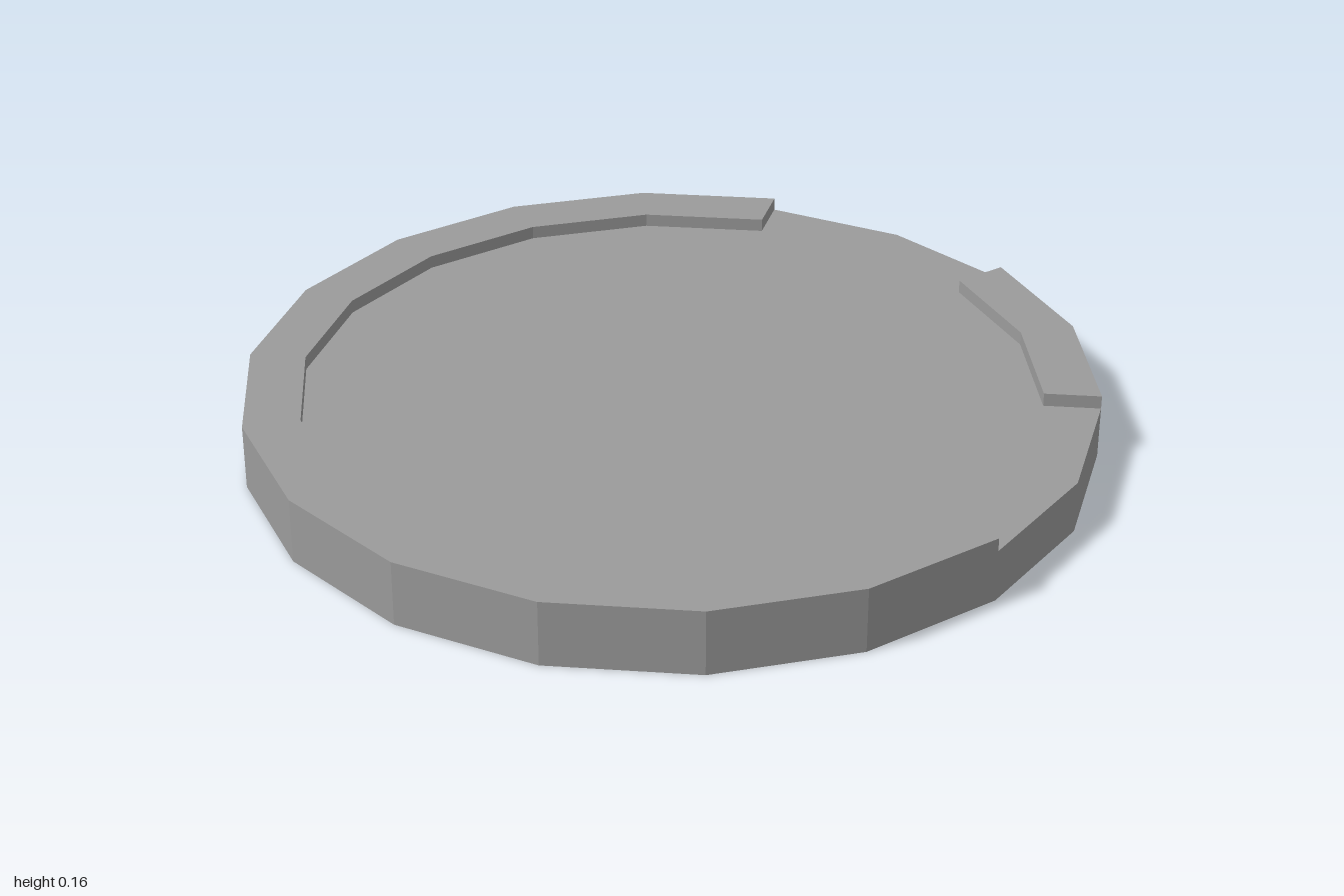
import * as THREE from 'three';

const STEP = Math.PI / 9; // 18 sides
const OUTER = 1, INNER = 0.867, FLOOR = 0.125, TOP = 0.157;

// sectors counted in sides, running counter-clockwise seen from above, from +x
const SECTORS = [
  { from: 0, count: 2, raised: false },
  { from: 2, count: 2, raised: true },
  { from: 4, count: 2, raised: false },
  { from: 6, count: 12, raised: true },
];

// corner points of a sector at radius r
const arc = (r, { from, count }) =>
  Array.from({ length: count + 1 }, (_, i) =>
    new THREE.Vector2(r * Math.cos((from + i) * STEP), r * Math.sin((from + i) * STEP)));

// level face with the given outline
const flat = (points, y) =>
  new THREE.ShapeGeometry(new THREE.Shape(points)).rotateX(-Math.PI / 2).translate(0, y, 0);

// upright band over a sector
const band = (r, y0, y1, { from, count }) =>
  new THREE.CylinderGeometry(r, r, y1 - y0, count, 1, true, Math.PI / 2 + from * STEP, count * STEP)
    .translate(0, (y0 + y1) / 2, 0);

export function createModel() {
  const group = new THREE.Group();
  const material = new THREE.MeshStandardMaterial({
    color: 0x9b9b9b, flatShading: true, side: THREE.DoubleSide,
  });
  const add = (name, geometry) => {
    const mesh = new THREE.Mesh(geometry, material);
    mesh.name = name;
    group.add(mesh);
  };

  // recessed floor, hollow underneath, reaching the edge where the rim is missing
  add('floor', flat(SECTORS.flatMap((s) => arc(s.raised ? INNER : OUTER, s)), FLOOR));

  for (const s of SECTORS) {
    add('outerWall', band(OUTER, 0, s.raised ? TOP : FLOOR, s));
    if (!s.raised) continue;

    add('rimTop', flat([...arc(OUTER, s), ...arc(INNER, s).reverse()], TOP));

    // inner step of the rim, turned to face the centre
    const inner = band(INNER, FLOOR, TOP, s);
    inner.index.array.reverse();
    inner.computeVertexNormals();
    add('rimInnerWall', inner);

    // end faces of the rim
    for (const [side, turn] of [[s.from, 0], [s.from + s.count, Math.PI]]) {
      add('rimEnd', new THREE.PlaneGeometry(OUTER - INNER, TOP - FLOOR)
        .rotateY(turn)
        .translate((OUTER + INNER) / 2, (TOP + FLOOR) / 2, 0)
        .rotateY(side * STEP));
    }
  }
  return group;
}
